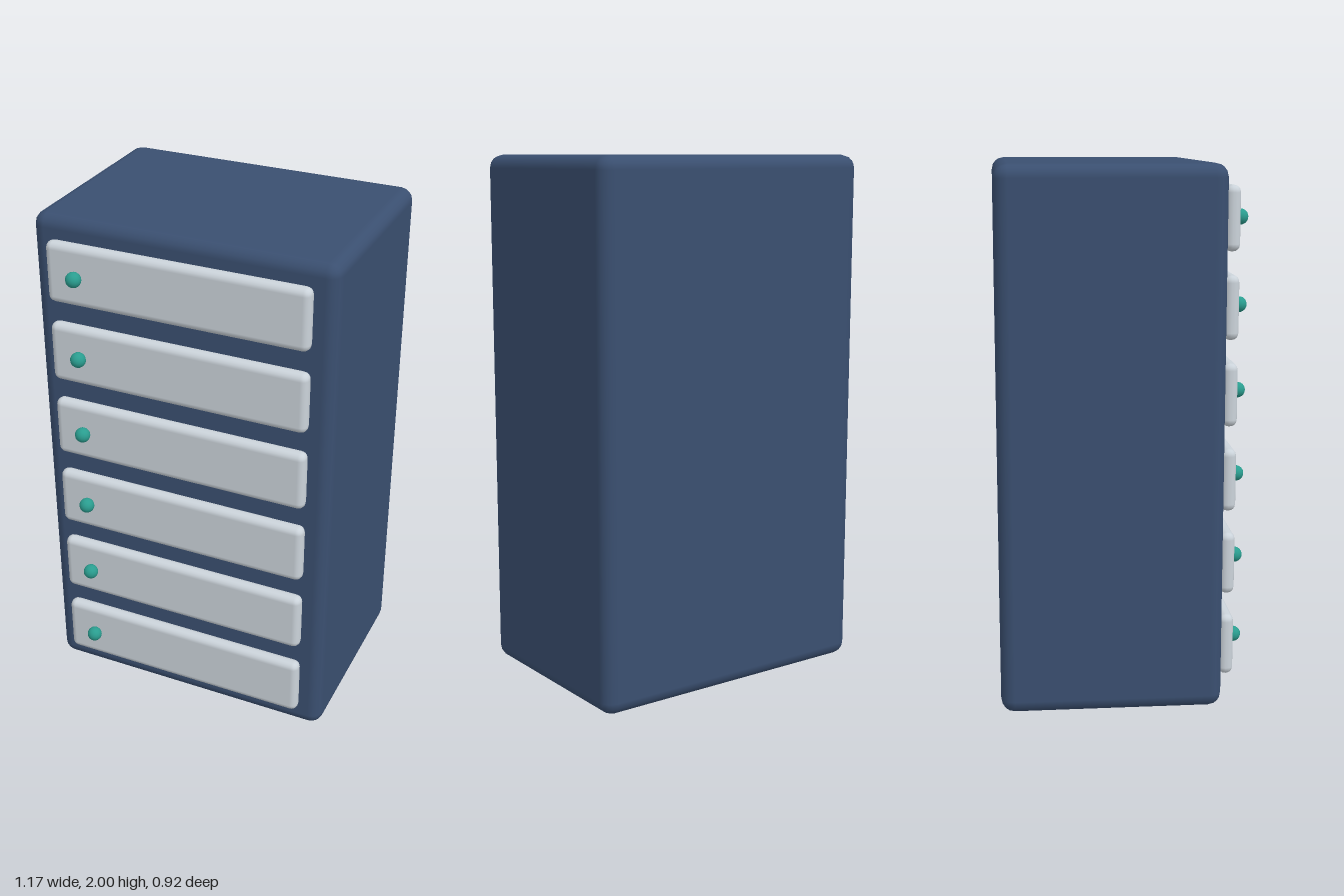
import * as THREE from 'three';
import { RoundedBoxGeometry } from 'three/addons/geometries/RoundedBoxGeometry.js';

export function createModel() {
  const model = new THREE.Group();
  const paint = (color) => new THREE.MeshStandardMaterial({ color });
  const bodyMaterial = paint(0x3a4f70);
  const drawerMaterial = paint(0xcbd3da);
  const knobMaterial = paint(0x2a9d8f);

  const add = (parent, name, geometry, material, x, y, z) => {
    const mesh = new THREE.Mesh(geometry, material);
    mesh.name = name;
    mesh.position.set(x, y, z);
    parent.add(mesh);
  };

  // Cabinet body with softened edges
  add(model, 'cabinetBody', new RoundedBoxGeometry(1.17, 2, 0.82, 2, 0.05), bodyMaterial, 0, 1, -0.05);

  // Six identical drawers, each with a round knob near its right end
  const drawerFront = new RoundedBoxGeometry(1.01, 0.235, 0.056, 2, 0.027);
  const knob = new THREE.SphereGeometry(0.029, 16, 12);
  for (let i = 0; i < 6; i++) {
    const drawer = new THREE.Group();
    drawer.name = `drawer${i + 1}`;
    drawer.position.y = 0.215 + i * 0.318;
    add(drawer, 'drawerFront', drawerFront, drawerMaterial, 0, 0, 0.386);
    add(drawer, 'drawerKnob', knob, knobMaterial, -0.38, 0, 0.431);
    model.add(drawer);
  }

  return model;
}
